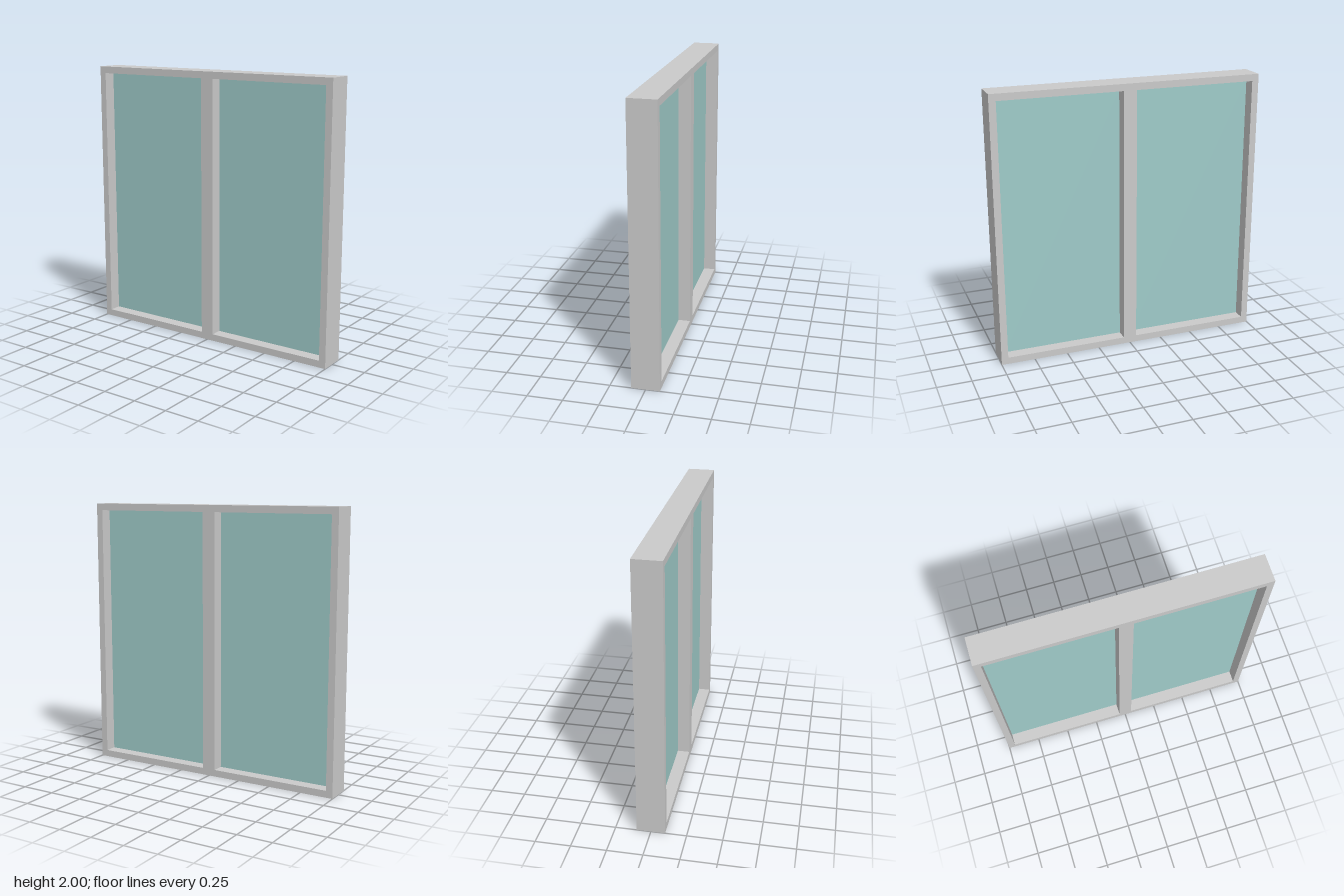
import * as THREE from 'three';

const DEPTH = 0.2, BAR = 0.05, GLASS = 0.02;

// Rectangle outline from its corner and size
function rect(path, x, y, w, h) {
  path.moveTo(x, y);
  path.lineTo(x + w, y);
  path.lineTo(x + w, y + h);
  path.lineTo(x, y + h);
  path.closePath();
  return path;
}

export function createModel() {
  const frameMat = new THREE.MeshStandardMaterial({ color: 0xcacaca });
  frameMat.name = 'light grey frame';
  const glassMat = new THREE.MeshStandardMaterial({ color: 0x9fcbc9 });
  glassMat.name = 'pale teal glass';

  const group = new THREE.Group();
  group.name = 'window';

  const paneW = 1 - 2 * BAR, paneH = 2 - 2 * BAR;
  const outline = rect(new THREE.Shape(), -1, 0, 2, 2);

  for (const side of [-1, 1]) {
    const cx = side * 0.5;
    // Opening in the frame
    outline.holes.push(rect(new THREE.Path(), cx - paneW / 2, BAR, paneW, paneH));
    // Glass pane, recessed equally from front and back
    const pane = new THREE.Mesh(new THREE.BoxGeometry(paneW, paneH, GLASS), glassMat);
    pane.name = side > 0 ? 'leftPane' : 'rightPane';
    pane.position.set(cx, 1, 0);
    group.add(pane);
  }

  // Frame with central mullion
  const frameGeo = new THREE.ExtrudeGeometry(outline, { depth: DEPTH, bevelEnabled: false });
  frameGeo.translate(0, 0, -DEPTH / 2);
  const frame = new THREE.Mesh(frameGeo, frameMat);
  frame.name = 'frame';
  group.add(frame);

  return group;
}
